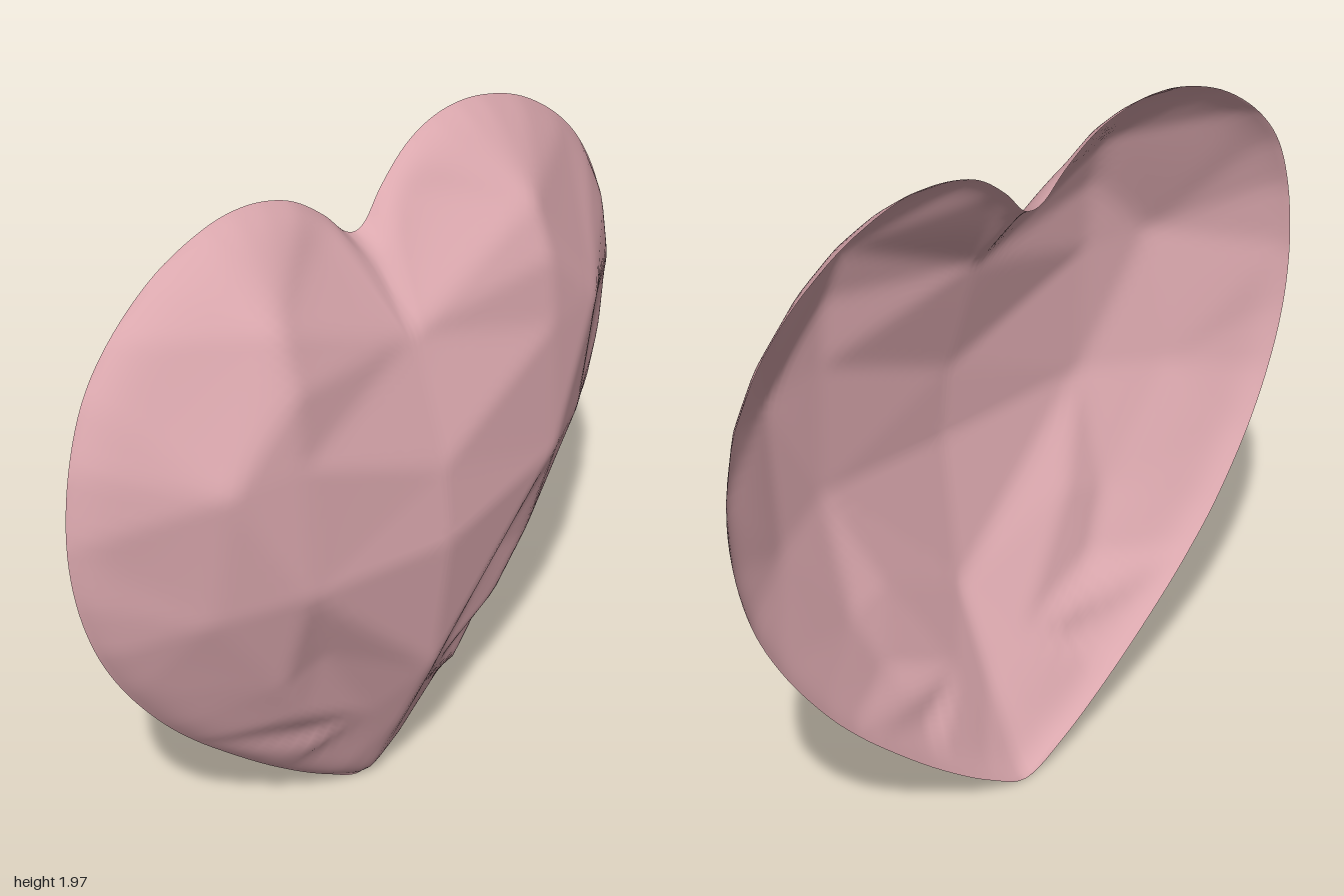
import * as THREE from 'three';

// right half of the rim from the cleft to the tip: x, y, z, nearest facet corner
const RIM = [
  [0, 1.77, -0.15, 'cleft'], [0.035, 1.782, -0.152, 'cleft'], [0.1, 1.85, -0.16, 'cleft'],
  [0.2, 1.925, -0.17, 'lobe'], [0.3, 1.96, -0.178, 'lobe'], [0.4, 1.97, -0.18, 'lobe'],
  [0.5, 1.957, -0.18, 'lobe'], [0.65, 1.902, -0.18, 'lobe'], [0.8, 1.797, -0.175, 'lobe'],
  [0.9, 1.68, -0.168, 'shoulder'], [0.97, 1.52, -0.155, 'shoulder'], [1, 1.32, -0.15, 'shoulder'],
  [0.985, 1.13, -0.15, 'side'], [0.935, 0.95, -0.15, 'side'], [0.85, 0.78, -0.155, 'side'],
  [0.725, 0.6, -0.16, 'ridge'], [0.63, 0.49, -0.16, 'knee'], [0.535, 0.395, -0.16, 'dent'],
  [0.335, 0.215, -0.155, 'swell'], [0.14, 0.07, -0.15, 'fold'], [0, 0, -0.145, 'keel'],
];

// facet corners of the right half
const CORNER = {
  cleft: [0, 1.55, 0.05], lobe: [0.46, 1.75, 0.045], crest: [0.47, 1.6, 0.105],
  kite: [0.47, 1.4, 0.123], shoulder: [0.68, 1.4, 0.09], plateau: [0.47, 1.02, 0.14],
  brow: [0, 1.2, 0.165], peak: [0, 0.97, 0.187], point: [0, 0.53, 0.128],
  valley: [0.34, 0.72, 0.05], fold: [0.13, 0.37, 0], keel: [0, 0.28, 0.012],
  ridge: [0.47, 0.68, 0.035], knee: [0.38, 0.5, 0], dent: [0.36, 0.41, -0.07],
  swell: [0.27, 0.3, -0.06], side: [0.7, 1.0, 0.025],
};

const FACETS = [
  'cleft lobe crest', 'cleft crest kite', 'lobe shoulder crest', 'crest shoulder kite',
  'shoulder plateau kite', 'cleft kite brow', 'kite plateau brow', 'brow plateau peak',
  'peak plateau point', 'plateau valley point', 'valley fold point', 'fold keel point',
  'plateau shoulder side', 'plateau side ridge', 'plateau ridge valley', 'ridge knee valley',
  'valley knee fold', 'knee dent fold', 'dent swell fold',
].map((f) => f.split(' ').map((n) => CORNER[n]));

// facets joining the inner corners to the rim
for (let i = 0; i < RIM.length - 1; i++) {
  const a = RIM[i], b = RIM[i + 1];
  FACETS.push([a, b, CORNER[b[3]]]);
  if (a[3] !== b[3]) FACETS.push([a, CORNER[a[3]], CORNER[b[3]]]);
}

// height on the facet that holds (x, y)
function facetHeight(x, y) {
  x = Math.abs(x);
  let best = -Infinity, z = 0;
  for (const [a, b, c] of FACETS) {
    const d = (b[1] - c[1]) * (a[0] - c[0]) + (c[0] - b[0]) * (a[1] - c[1]);
    if (Math.abs(d) < 1e-7) continue;
    const u = ((b[1] - c[1]) * (x - c[0]) + (c[0] - b[0]) * (y - c[1])) / d;
    const v = ((c[1] - a[1]) * (x - c[0]) + (a[0] - c[0]) * (y - c[1])) / d;
    const w = 1 - u - v, inside = Math.min(u, v, w);
    if (inside > best) {
      best = inside;
      z = u * a[2] + v * b[2] + w * c[2];
    }
  }
  return z;
}

// slightly softened facet edges
function softHeight(x, y, radius) {
  let sum = facetHeight(x, y);
  for (let k = 0; k < 8; k++) {
    const a = (k * Math.PI) / 4;
    sum += facetHeight(x + radius * Math.cos(a), y + radius * Math.sin(a));
  }
  return sum / 9;
}

function heartGeometry(around = 208, rings = 44) {
  const right = RIM.map(([x, y, z]) => new THREE.Vector3(x, y, z));
  const left = right.slice(1, -1).reverse().map((p) => new THREE.Vector3(-p.x, p.y, p.z));
  const curve = new THREE.CatmullRomCurve3([...right, ...left].reverse(), true, 'centripetal');
  const rim = [];
  for (let i = 0; i < around; i++) rim.push(curve.getPoint(i / around));

  const cx = 0, cy = 1;
  const pos = [cx, cy, softHeight(cx, cy, 0.02)], index = [];
  for (let r = 1; r <= rings; r++) {
    const u = Math.pow(1 - r / rings, 1.4), t = 1 - u; // rings crowd towards the rim
    for (const p of rim) {
      const x = cx + (p.x - cx) * t, y = cy + (p.y - cy) * t;
      const bulge = 0.018 * (u / 0.06) * Math.exp(1 - u / 0.06); // rounded edge
      const z = r === rings ? p.z : softHeight(x, y, Math.min(0.022, 0.004 + u * 0.3)) + bulge;
      pos.push(x, y, z);
    }
  }
  const at = (r, i) => 1 + (r - 1) * around + (i % around);
  for (let i = 0; i < around; i++) {
    index.push(0, at(1, i), at(1, i + 1));
    for (let r = 1; r < rings; r++) {
      index.push(at(r, i), at(r + 1, i), at(r + 1, i + 1));
      index.push(at(r, i), at(r + 1, i + 1), at(r, i + 1));
    }
  }
  const geo = new THREE.BufferGeometry();
  geo.setAttribute('position', new THREE.Float32BufferAttribute(pos, 3));
  geo.setIndex(index);
  geo.computeVertexNormals();
  return geo;
}

export function createModel() {
  const group = new THREE.Group();
  group.name = 'facetedHeart';
  const pink = new THREE.MeshStandardMaterial({ color: 0xdba8ae, side: THREE.DoubleSide });
  pink.name = 'dusty pink';
  const shell = new THREE.Mesh(heartGeometry(), pink);
  shell.name = 'heartShell';
  group.add(shell);
  return group;
}
